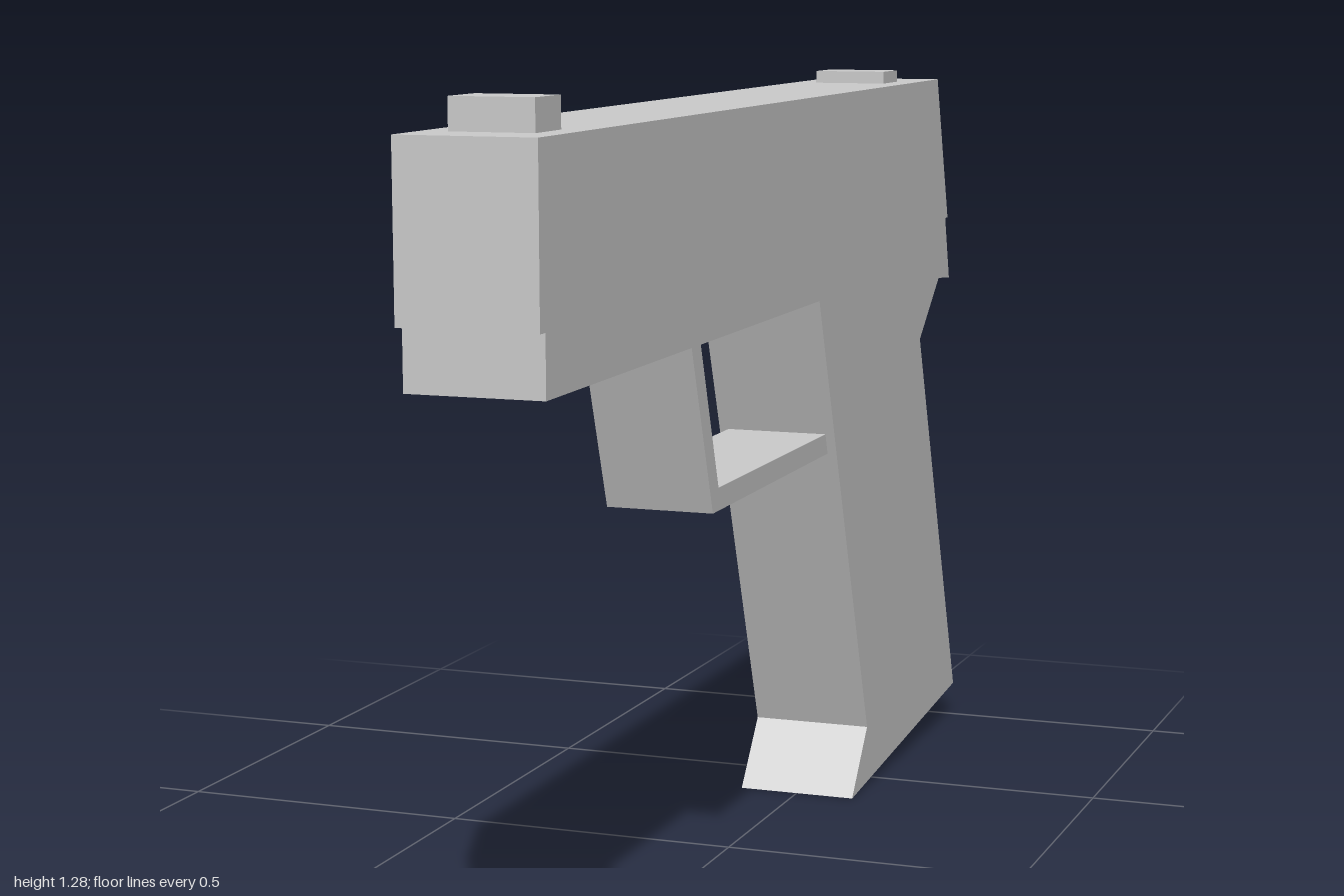
import * as THREE from 'three';

const material = new THREE.MeshStandardMaterial({ color: 0xcccccc, flatShading: true });

// Extrudes a side outline of [z, y] points across x, centred on x = 0
function plate(name, width, points) {
  const shape = new THREE.Shape(points.map(([z, y]) => new THREE.Vector2(z, y)));
  const geometry = new THREE.ExtrudeGeometry(shape, { depth: width, bevelEnabled: false });
  geometry.translate(0, 0, -width / 2);
  geometry.rotateY(-Math.PI / 2);
  const mesh = new THREE.Mesh(geometry, material);
  mesh.name = name;
  return mesh;
}

// Small block on top of the slide, from its z range and top height
function sight(name, zBack, zFront, top) {
  const base = 1.22;
  const mesh = new THREE.Mesh(new THREE.BoxGeometry(0.126, top - base, zFront - zBack), material);
  mesh.position.set(0, (top + base) / 2, (zBack + zFront) / 2);
  mesh.name = name;
  return mesh;
}

export function createModel() {
  const model = new THREE.Group();
  model.name = 'pistol';

  // Upper body with a sloping rear
  model.add(plate('slide', 0.208, [[1, 0.98], [1, 1.233], [-0.84, 1.24], [-0.917, 0.98]]));

  // Lower body and raked grip in one outline
  model.add(plate('frameAndGrip', 0.206, [
    [0.98, 0.98], [0.98, 0.89], [-0.155, 0.902], [-0.437, 0.112], [-0.352, 0.003],
    [-1, 0.065], [-0.745, 0.77], [-0.865, 0.871], [-0.935, 0.865], [-0.905, 0.98],
  ]));

  // Thin bent strip running into the grip
  model.add(plate('triggerGuard', 0.174, [
    [0.407, 0.91], [0.31, 0.625], [-0.27, 0.632], [-0.27, 0.667], [0.285, 0.661], [0.368, 0.91],
  ]));

  model.add(sight('frontSight', 0.828, 0.914, 1.28));
  model.add(sight('rearSight', -0.716, -0.634, 1.26));
  return model;
}
